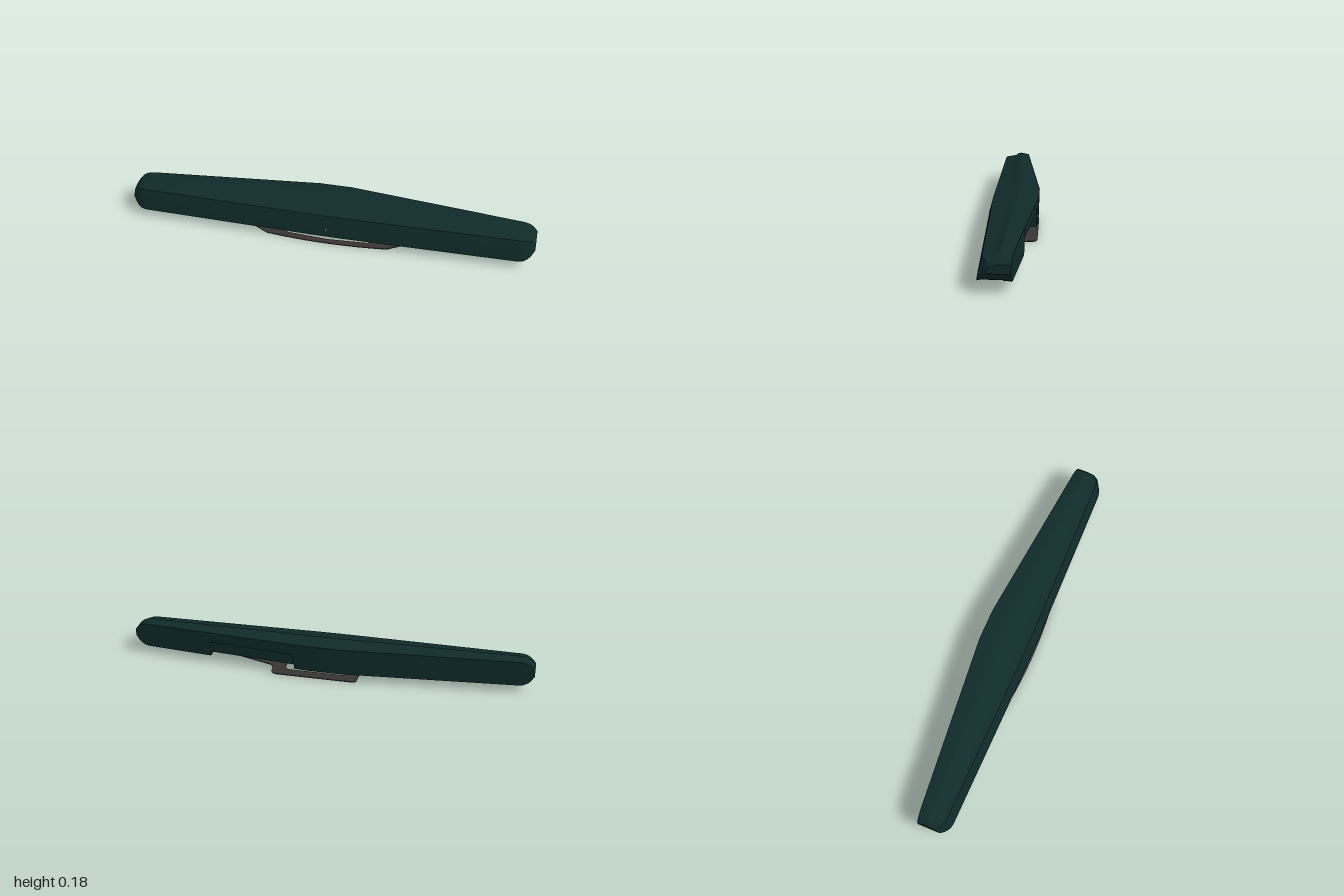
import * as THREE from 'three';
import { toCreasedNormals } from 'three/addons/utils/BufferGeometryUtils.js';

const mix = THREE.MathUtils.lerp;

// Cross-section of the bar at x as [z, y] pairs, from the front foot over the top to the rear underside
function section(x, notched) {
  const t = Math.abs(x);
  const u = Math.max(0, (t - 0.93) / 0.07);
  const k = Math.max(0.3, Math.sqrt(Math.max(0, 1 - u * u))); // rounded ends
  const back = mix(-0.126, -0.038, Math.max(0, (t - 0.08) / 0.92));
  const front = mix(0.125, 0.108, t) - 0.035 * u * u;
  const top = mix(0.18, 0.17, t);
  const ridge = mix(-0.035, 0, t);
  const low = notched ? 0.112 : 0.038;
  const points = [
    [front, 0.04], [front - 0.007, 0.08], [front - 0.016, 0.12], [front - 0.024, 0.146],
    [mix(0.005, 0.03, t), top - 0.014], [ridge + 0.015, top - 0.002], [ridge, top],
    [back, top - 0.009], [back + 0.004, low], [back + 0.038, low], [back + 0.038, 0.042],
    [0.1 - 0.04 * u, 0.044],
  ];
  return points.map(([z, y]) => [x, 0.108 + (y - 0.108) * k, z]);
}

// Lofted bar with a rear notch on one side
function barGeometry() {
  const ends = [0.93, 0.95, 0.97, 0.985, 0.995, 1];
  const stations = [
    ...ends.map((x) => [-x, false]).reverse(),
    [-0.6, false], [-0.3, false], [-0.08, false], [0.08, false],
    [0.15, false], [0.15, true], [0.35, true], [0.59, true], [0.59, false],
    ...ends.map((x) => [x, false]),
  ];
  const loops = stations.map(([x, notched]) => section(x, notched));
  const n = loops[0].length;
  const pos = loops.flat(2);
  const index = [];
  for (let i = 0; i < loops.length - 1; i++) {
    for (let j = 0; j < n; j++) {
      const a = i * n + j, b = i * n + (j + 1) % n;
      index.push(a, a + n, b, b, a + n, b + n);
    }
  }
  // End caps
  const c = loops.length * n;
  pos.push(-1, 0.108, 0.03, 1, 0.108, 0.03);
  for (let j = 0; j < n; j++) {
    const k = (j + 1) % n;
    index.push(c, j, k, c + 1, c - n + k, c - n + j);
  }
  const g = new THREE.BufferGeometry();
  g.setAttribute('position', new THREE.Float32BufferAttribute(pos, 3));
  g.setIndex(index);
  return toCreasedNormals(g.toNonIndexed(), 0.5);
}

// Height of the bent sheet: flat foot, sloping arms, flat tabs
function sheetHeight(x) {
  return 0.038 * THREE.MathUtils.clamp((Math.abs(x) - 0.3) / 0.19, 0, 1);
}

// Thin sheet cut from an x-z outline and bent upward
function sheet(shape) {
  const g = new THREE.ExtrudeGeometry(shape, { depth: 0.004, bevelEnabled: false, curveSegments: 12 });
  g.rotateX(Math.PI / 2);
  const p = g.attributes.position;
  for (let i = 0; i < p.count; i++) p.setY(i, p.getY(i) + 0.004 + sheetHeight(p.getX(i)));
  g.computeVertexNormals();
  return g;
}

const outline = (points) => new THREE.Shape(points.map(([x, z]) => new THREE.Vector2(x, z)));

export function createModel() {
  const model = new THREE.Group();
  const bodyColour = new THREE.MeshStandardMaterial({ name: 'darkTeal', color: 0x0f2b2a });
  const metal = new THREE.MeshStandardMaterial({ name: 'darkMetal', color: 0x383433 });
  const lens = new THREE.MeshStandardMaterial({ name: 'greyLens', color: 0x6f7575 });

  const add = (parent, name, geometry, material) => {
    const mesh = new THREE.Mesh(geometry, material);
    mesh.name = name;
    parent.add(mesh);
    return mesh;
  };

  add(model, 'bar', barGeometry(), bodyColour);

  // Small indicator on the sloping front
  const dot = add(model, 'indicator', new THREE.BoxGeometry(0.006, 0.014, 0.004), lens);
  dot.position.set(0, 0.075, 0.1185);
  dot.rotation.x = -0.17;

  // Bracket under the bar
  const bracket = new THREE.Group();
  bracket.name = 'bracket';
  model.add(bracket);

  const foot = new THREE.Shape();
  foot.moveTo(0.3, 0.11);
  foot.quadraticCurveTo(0, 0.146, -0.3, 0.11);
  foot.lineTo(-0.3, -0.03);
  foot.lineTo(-0.19, -0.025);
  foot.quadraticCurveTo(-0.16, -0.03, -0.16, -0.06);
  foot.lineTo(-0.16, -0.105);
  foot.quadraticCurveTo(-0.16, -0.123, -0.13, -0.123);
  foot.lineTo(0.23, -0.123);
  foot.quadraticCurveTo(0.26, -0.123, 0.27, -0.1);
  foot.quadraticCurveTo(0.275, -0.03, 0.3, -0.03);
  foot.holes.push(outline([
    [0.2, 0.085], [0.22, 0.06], [0.21, -0.05], [0.19, -0.065], [-0.08, -0.065],
    [-0.1, -0.05], [-0.1, 0], [-0.22, 0.04], [-0.22, 0.07], [-0.2, 0.085], [0, 0.098],
  ]));
  add(bracket, 'foot', sheet(foot), metal);

  for (const s of [-1, 1]) {
    const side = s > 0 ? 'left' : 'right';
    add(bracket, side + 'Arm', sheet(outline([
      [s * 0.3, -0.03], [s * 0.49, -0.03], [s * 0.49, 0.04], [s * 0.3, 0.11],
    ])), metal);
    add(bracket, side + 'Tab', sheet(outline([
      [s * 0.49, -0.03], [s * 0.61, -0.03], [s * 0.63, -0.015], [s * 0.63, 0.005],
      [s * 0.61, 0.02], [s * 0.54, 0.025], [s * 0.49, 0.04],
    ])), metal);
  }
  return model;
}
